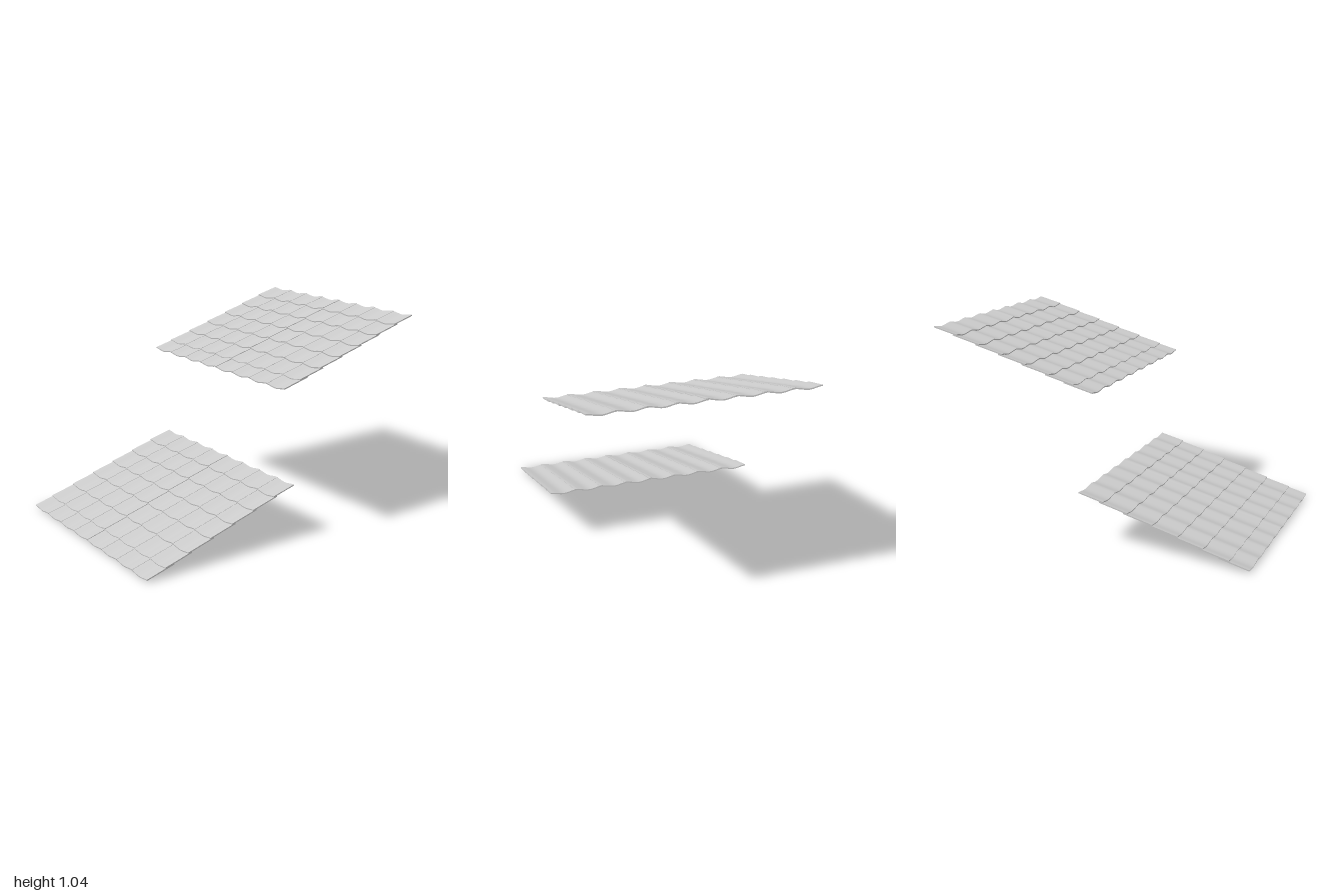
import * as THREE from 'three';
import { toCreasedNormals } from 'three/addons/utils/BufferGeometryUtils.js';

const COLS = 8, ROWS = 7;
const WIDTH = 1.107, SLOPE = 0.915;
const PITCH = 0.135;              // exposed length of a tile
const TILE_LENGTH = 0.155;        // tile length including the overlap
const THICK = 0.006, WAVE = 0.005;
const COL = WIDTH / COLS;

// One wavy tile: closed cross-section extruded down the slope,
// with a raised lip that overlaps the next column.
function tileGeometry(lip) {
  const steps = 12, lipWidth = 0.012;
  const top = [];
  for (let i = 0; i <= steps; i++) {
    const x = (COL * i) / steps;
    top.push([x, WAVE * Math.cos((2 * Math.PI * x) / COL)]);
  }
  if (lip > 0) {
    top.pop();
    top.push([COL - 0.002, WAVE + lip], [COL + lipWidth, WAVE + lip - 0.0008]);
  }
  const shape = new THREE.Shape();
  top.forEach(([x, y], i) => (i ? shape.lineTo(x, y) : shape.moveTo(x, y)));
  [...top].reverse().forEach(([x, y]) => shape.lineTo(x, y - THICK));
  shape.closePath();
  const geo = new THREE.ExtrudeGeometry(shape, { depth: TILE_LENGTH, bevelEnabled: false });
  geo.rotateX(-Math.atan2(THICK, PITCH)); // lower end rests on the row below
  return toCreasedNormals(geo, 0.6);
}

// A full sheet of tiles in local space: x across, z down the slope
function roofPanel(name, material) {
  const panel = new THREE.Group();
  panel.name = name;
  const plain = tileGeometry(0), seam = tileGeometry(0.0015), wideSeam = tileGeometry(0.003);
  for (let r = 0; r < ROWS; r++) {
    const row = new THREE.Group();
    row.name = 'tileRow' + (r + 1);
    const end = Math.min((r + 1) * PITCH, SLOPE);
    const first = r === 0;
    for (let c = 0; c < COLS; c++) {
      const geo = c === COLS - 1 ? plain : c === COLS / 2 - 1 ? wideSeam : seam;
      const tile = new THREE.Mesh(geo, material);
      tile.name = 'roofTile';
      tile.position.x = c * COL;
      // the top row is cut to the ridge line
      if (first) tile.scale.z = PITCH / TILE_LENGTH;
      row.add(tile);
    }
    row.position.z = first ? 0 : end - TILE_LENGTH;
    panel.add(row);
  }
  return panel;
}

export function createModel() {
  const group = new THREE.Group();
  group.name = 'roofPanels';
  const material = new THREE.MeshStandardMaterial({ color: 0xcccccc });

  // Shared orientation: turned about y and pitched down toward the front
  const across = new THREE.Vector3(0.99, 0, 0.495).normalize();
  const down = new THREE.Vector3(-0.39, -0.26, 0.78).normalize();
  const normal = new THREE.Vector3().crossVectors(down, across);
  const basis = new THREE.Matrix4().makeBasis(across, normal, down);

  const places = [
    ['lowerPanel', -0.48, 0.27, -0.283],
    ['upperPanel', -0.12, 1.035, -0.997],
  ];
  for (const [name, x, y, z] of places) {
    const panel = roofPanel(name, material);
    panel.quaternion.setFromRotationMatrix(basis);
    panel.position.set(x, y, z);
    group.add(panel);
  }

  // Centre the pair and rest it on the ground plane
  group.updateMatrixWorld(true);
  const box = new THREE.Box3().setFromObject(group, true);
  const mid = box.getCenter(new THREE.Vector3());
  group.children.forEach((p) => p.position.sub(new THREE.Vector3(mid.x, box.min.y, mid.z)));
  return group;
}
